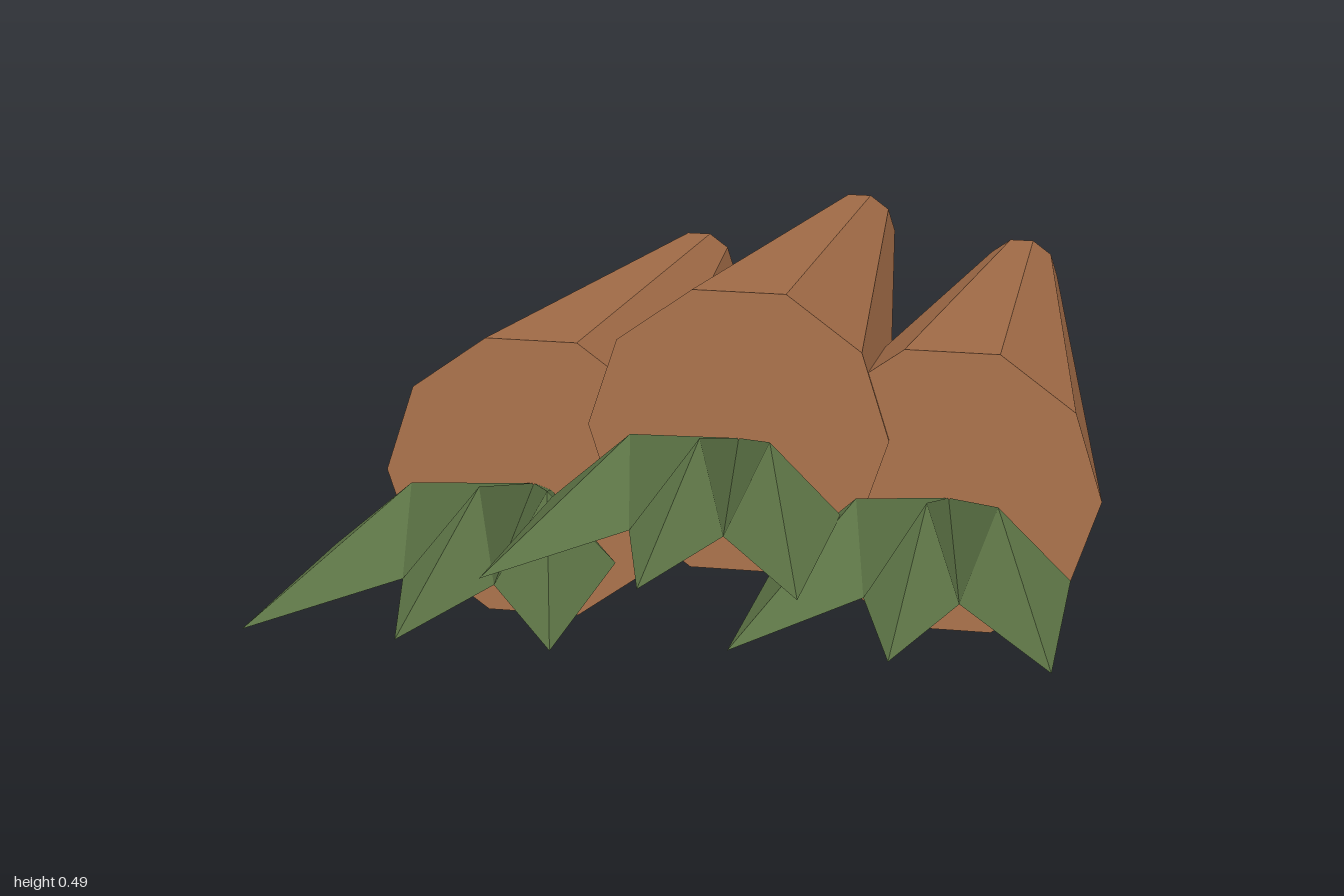
import * as THREE from 'three';

const FRONT_R = 0.2135, TIP_R = 0.066, FRONT_Z = 0.3, TIP_Z = -0.994, DROP = 0.106;

const orange = new THREE.MeshStandardMaterial({ color: 0xa8704a, flatShading: true });
const green = new THREE.MeshStandardMaterial({ color: 0x607848, flatShading: true, side: THREE.DoubleSide });
const pale = new THREE.MeshStandardMaterial({ color: 0xd8ccb0, flatShading: true, side: THREE.DoubleSide });

// Builds faceted geometry from a list of polygons, each split into a fan
function facets(polygons) {
  const pos = [];
  for (const p of polygons)
    for (let i = 1; i < p.length - 1; i++) pos.push(...p[0], ...p[i], ...p[i + 1]);
  const g = new THREE.BufferGeometry();
  g.setAttribute('position', new THREE.Float32BufferAttribute(pos, 3));
  g.computeVertexNormals();
  return g;
}

// Tapered ten-sided root, its tip sloping down to the back
function rootGeometry() {
  const dz = FRONT_Z - TIP_Z;
  const g = new THREE.CylinderGeometry(FRONT_R, TIP_R, Math.hypot(dz, DROP), 10);
  g.rotateY(Math.PI / 10);
  g.rotateX(Math.PI / 2 - Math.atan2(DROP, dz));
  g.translate(0, -DROP / 2, (FRONT_Z + TIP_Z) / 2);
  return g;
}

// Three joined pointed blades: flat rising underside, ridged top
function leafGeometry() {
  const under = (x, z) => [x, -0.021 + (z - 0.29) * 0.134, z];
  const crown = [0, -0.012, 0.29];
  const midRidge = [0, 0.104, 0.585], midTip = under(0, 0.99);
  const polys = [];
  for (const s of [-1, 1]) {
    const base = under(s * 0.025, 0.29), outer = under(s * 0.19, 0.62);
    const tip = under(s * 0.19, 0.99), notch = under(s * 0.06, 0.75);
    const ridge = [s * 0.092, 0.104, 0.585];
    const faces = [
      [crown, base, ridge], [base, outer, ridge], [outer, tip, ridge],
      [crown, ridge, notch], [ridge, tip, notch],
      [crown, notch, midRidge], [notch, midTip, midRidge],
      [base, notch, tip, outer], [under(0, 0.29), midTip, notch, base],
    ];
    // Wind both halves outward
    polys.push(...(s > 0 ? faces : faces.map((f) => [...f].reverse())));
  }
  return facets(polys);
}

// Small pale chip lying on the lower left facet of the root
function spotGeometry() {
  const outline = [[0.11, -0.056], [0.055, -0.074], [0.01, -0.048], [0, -0.022]];
  return facets([outline.map(([z, dy]) => {
    const t = (FRONT_Z - z) / (FRONT_Z - TIP_Z);
    const r = FRONT_R + (TIP_R - FRONT_R) * t;
    return [r + dy * Math.tan(Math.PI / 10) + 0.004, dy - DROP * t, z];
  })]);
}

export function createModel() {
  const model = new THREE.Group();
  model.name = 'carrotBunch';
  const parts = [
    ['root', rootGeometry(), orange],
    ['leaves', leafGeometry(), green],
    ['paleSpot', spotGeometry(), pale],
  ];
  const carrots = [['rightCarrot', -0.297, 0.205], ['middleCarrot', 0, 0.293], ['leftCarrot', 0.297, 0.222]];
  for (const [name, x, y] of carrots) {
    const carrot = new THREE.Group();
    carrot.name = name;
    carrot.position.set(x, y, 0);
    for (const [part, geometry, material] of parts) {
      const mesh = new THREE.Mesh(geometry, material);
      mesh.name = part;
      carrot.add(mesh);
    }
    model.add(carrot);
  }
  return model;
}
